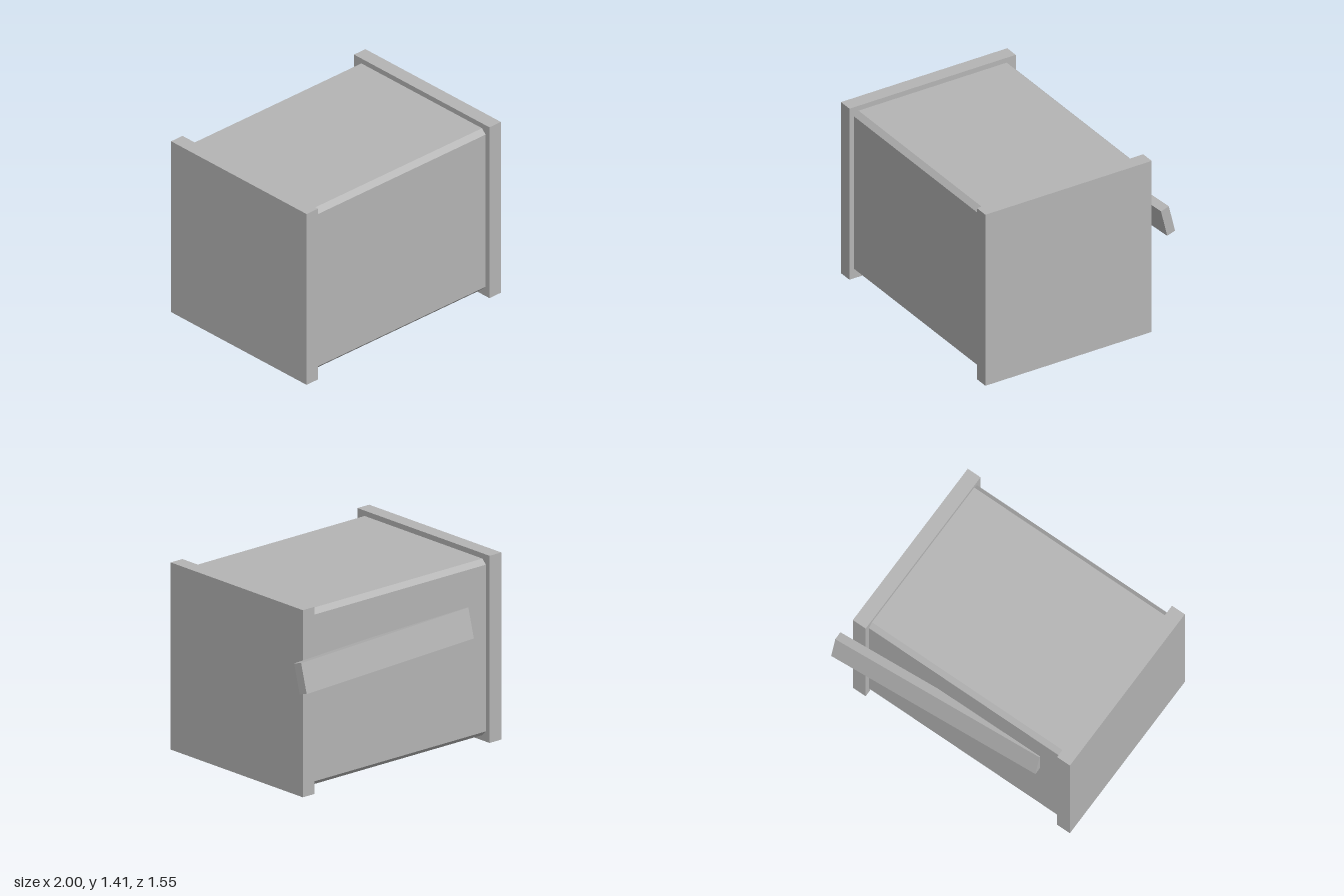
import * as THREE from 'three';

export function createModel() {
  const model = new THREE.Group();
  const grey = new THREE.MeshStandardMaterial({ color: 0xb4b4b4 });
  grey.name = 'plain grey';

  const add = (name, geometry, x, y, z) => {
    const mesh = new THREE.Mesh(geometry, grey);
    mesh.name = name;
    mesh.position.set(x, y, z);
    model.add(mesh);
    return mesh;
  };

  // Two square end panels
  const midY = 0.705, midZ = 0.07;
  const panel = new THREE.BoxGeometry(0.112, 1.41, 1.41);
  add('rightEndPanel', panel, -0.944, midY, midZ);
  add('leftEndPanel', panel, 0.844, midY, midZ);

  // Body: a square section with chamfered long edges, extruded along x
  const h = 0.665, k = h - 0.037;
  const section = new THREE.Shape([
    [-k, -h], [k, -h], [h, -k], [h, k], [k, h], [-k, h], [-h, k], [-h, -k],
  ].map(([a, b]) => new THREE.Vector2(a, b)));
  const bodyGeometry = new THREE.ExtrudeGeometry(section, { depth: 1.676, bevelEnabled: false });
  bodyGeometry.translate(0, 0, -0.838).rotateY(Math.PI / 2);
  add('body', bodyGeometry, -0.05, midY, midZ);

  // Slanted bar resting against the back
  const bar = add('backBar', new THREE.BoxGeometry(1.709, 0.227, 0.072), 0.141, 0.935, -0.655);
  bar.rotation.set(0.245, 0.068, 0, 'YXZ');

  return model;
}
